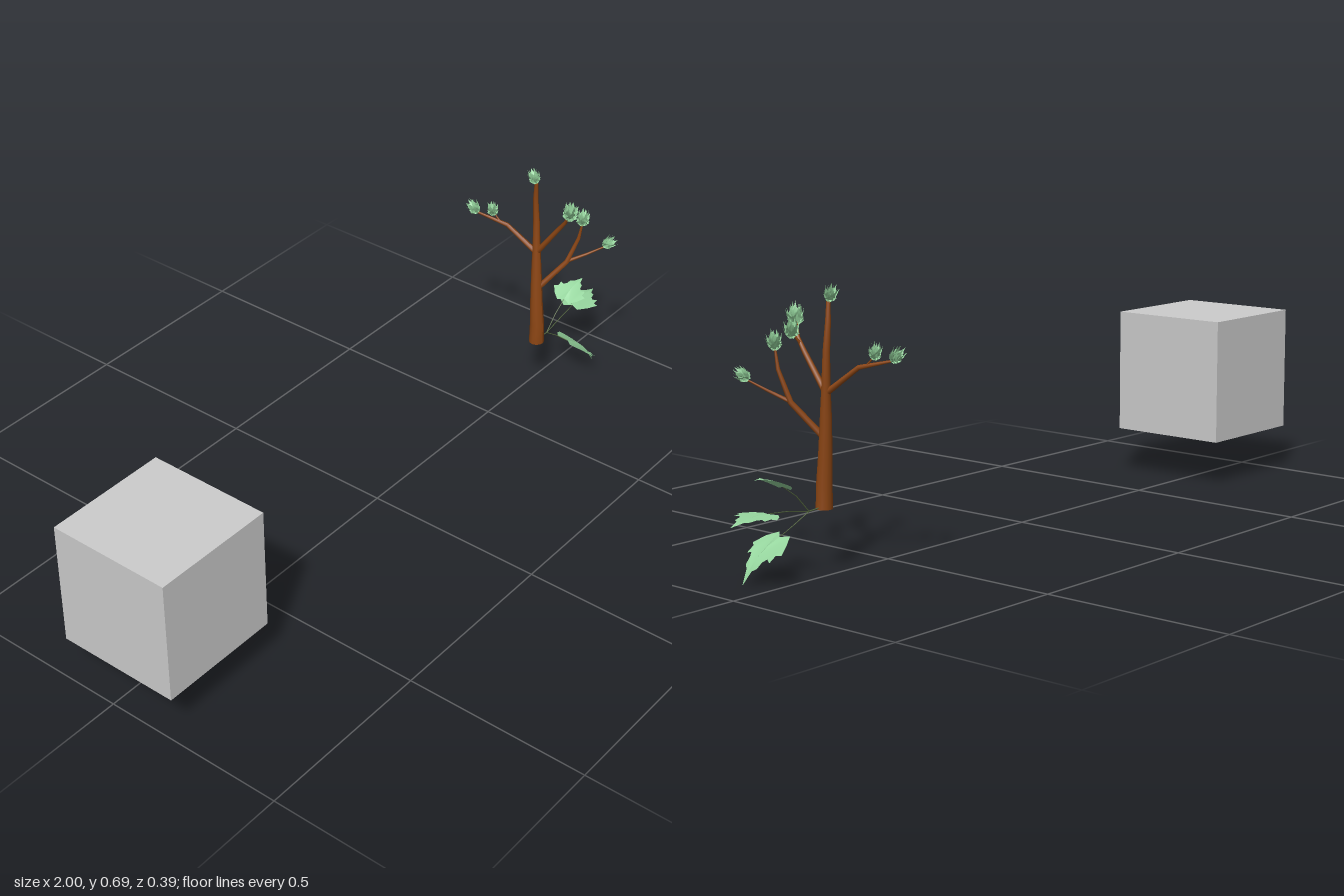
import * as THREE from 'three';
import { mergeGeometries } from 'three/addons/utils/BufferGeometryUtils.js';

const V = (p) => new THREE.Vector3(...p);
const bark = new THREE.MeshStandardMaterial({ color: 0x8b4513 });
const green = new THREE.MeshStandardMaterial({ color: 0x98d8a0, side: THREE.DoubleSide });
const stalkGreen = new THREE.MeshStandardMaterial({ color: 0x55683f });
const grey = new THREE.MeshStandardMaterial({ color: 0xcccccc });

function named(name, geometry, material) {
  const mesh = new THREE.Mesh(geometry, material);
  mesh.name = name;
  return mesh;
}

// Tapered limb through rows of [x, y, z, radius]
function limb(rows, sides = 10) {
  const n = rows.length - 1;
  const pts = rows.map((r) => V(r));
  const turns = pts.map((p, i) => {
    const t = pts[Math.min(i + 1, n)].clone().sub(pts[Math.max(i - 1, 0)]).normalize();
    return new THREE.Quaternion().setFromUnitVectors(new THREE.Vector3(0, 1, 0), t);
  });
  const geo = new THREE.CylinderGeometry(1, 1, 1, sides, n);
  const pos = geo.attributes.position;
  for (let k = 0; k < pos.count; k++) {
    const i = Math.round((pos.getY(k) + 0.5) * n);
    const v = new THREE.Vector3(pos.getX(k), 0, pos.getZ(k)).multiplyScalar(rows[i][3]);
    v.applyQuaternion(turns[i]).add(pts[i]);
    pos.setXYZ(k, v.x, v.y, v.z);
  }
  geo.computeVertexNormals();
  return geo;
}

// Lobed leaf of unit length: half outline from base to tip, then back along the midrib
const halfLeaf = [[0, 0.02], [0.2, -0.07], [0.32, 0.03], [0.4, 0.1], [0.54, 0.3], [0.42, 0.34],
  [0.42, 0.5], [0.3, 0.46], [0.23, 0.54], [0.2, 0.68], [0.1, 0.74], [0, 1], [0, 0.75], [0, 0.5], [0, 0.25]];

// Leaf running from base to tip, bulging towards the up hint
function leaf(base, tip, width, bulge, up) {
  const halves = [1, -1].map((s) =>
    new THREE.ShapeGeometry(new THREE.Shape(halfLeaf.map(([x, y]) => new THREE.Vector2(s * x, y)))));
  const geo = mergeGeometries(halves);
  const pos = geo.attributes.position;
  for (let k = 0; k < pos.count; k++) {
    const x = pos.getX(k), y = pos.getY(k);
    pos.setZ(k, bulge * 4 * y * (1 - y) - bulge * x * x);
  }
  const dir = tip.clone().sub(base);
  const length = dir.length();
  dir.normalize();
  const side = dir.clone().cross(up).normalize();
  const normal = side.clone().cross(dir);
  geo.scale(width / 1.08, length, length);
  geo.applyMatrix4(new THREE.Matrix4().makeBasis(side, dir, normal).setPosition(base));
  geo.computeVertexNormals();
  return geo;
}

// Tuft of small leaves fanning around an axis
function tuft(centre, axis, size) {
  const a = V(axis).normalize();
  const base = V(centre).addScaledVector(a, -size * 0.48);
  const u = new THREE.Vector3(1, 0, 0).cross(a).normalize();
  const w = a.clone().cross(u);
  const leaves = [];
  for (let i = 0; i < 12; i++) {
    const angle = i * 2.4, tilt = 0.15 + 0.5 * (i / 11);
    const dir = a.clone().multiplyScalar(Math.cos(tilt))
      .addScaledVector(u, Math.sin(tilt) * Math.cos(angle))
      .addScaledVector(w, Math.sin(tilt) * Math.sin(angle));
    const tip = base.clone().addScaledVector(dir, size * (1 - 0.02 * i));
    leaves.push(leaf(base, tip, size * 0.65, -0.08, a));
  }
  return mergeGeometries(leaves);
}

export function createModel() {
  const model = new THREE.Group();
  model.name = 'treeAndBlock';

  // Plain block
  const block = named('block', new THREE.BoxGeometry(0.336, 0.337, 0.337), grey);
  block.position.set(-0.832, 0.2955, 0.0265);
  model.add(block);

  // Trunk
  model.add(named('trunk', limb([[0.685, 0.153, 0.027, 0.021], [0.685, 0.21, 0.026, 0.02],
    [0.687, 0.28, 0.019, 0.0175], [0.691, 0.375, 0.011, 0.0145], [0.696, 0.45, 0.004, 0.011],
    [0.7, 0.53, -0.003, 0.009], [0.697, 0.6, -0.007, 0.007], [0.692, 0.647, -0.004, 0.005]], 12), bark));

  // Branches and twigs
  const branches = {
    lowerBranch: [[0.69, 0.325, 0.02, 0.008], [0.74, 0.408, 0.077, 0.007], [0.755, 0.485, 0.101, 0.005],
      [0.755, 0.535, 0.11, 0.0025]],
    lowerTwig: [[0.738, 0.408, 0.075, 0.005], [0.77, 0.434, 0.12, 0.0035], [0.8, 0.46, 0.16, 0.002]],
    frontBranch: [[0.695, 0.435, 0.008, 0.008], [0.702, 0.522, 0.066, 0.0065], [0.7, 0.555, 0.09, 0.005],
      [0.685, 0.595, 0.112, 0.0025]],
    frontTwig: [[0.701, 0.54, 0.08, 0.004], [0.718, 0.565, 0.087, 0.002]],
    backBranch: [[0.695, 0.432, 0.004, 0.008], [0.673, 0.498, -0.08, 0.006], [0.65, 0.518, -0.162, 0.003]],
    backTwig: [[0.668, 0.503, -0.1, 0.003], [0.665, 0.525, -0.12, 0.0015]],
  };
  for (const [name, rows] of Object.entries(branches)) model.add(named(name, limb(rows, 8), bark));

  // Leaf tufts: centre, axis, size
  const tufts = [
    [[0.692, 0.668, -0.014], [0, 1, -0.45], 0.044], [[0.682, 0.608, 0.116], [-0.2, 1, 0.2], 0.056],
    [[0.72, 0.58, 0.09], [0.2, 1, -0.2], 0.05], [[0.757, 0.555, 0.11], [0.1, 1, 0], 0.05],
    [[0.662, 0.54, -0.124], [-0.1, 1, -0.1], 0.042], [[0.645, 0.535, -0.178], [-0.2, 0.8, -0.6], 0.045],
    [[0.807, 0.474, 0.17], [0.4, 0.6, 0.6], 0.044],
  ];
  tufts.forEach((t, i) => model.add(named(`leafTuft${i + 1}`, tuft(...t), green)));

  // Large leaves on thin stalks from the trunk foot
  const fork = [0.735, 0.155, 0.027];
  model.add(named('stalk', limb([[0.695, 0.158, 0.027, 0.0018], [...fork, 0.0015]], 6), stalkGreen));
  const up = new THREE.Vector3(0, 1, 0);
  const bigLeaves = [
    ['upperLeaf', [0.775, 0.198, 0.027], [0.815, 0.226, 0.027], [0.902, 0.256, 0.03], 0.107, 0.1],
    ['middleLeaf', [0.8, 0.167, 0.025], [0.87, 0.174, 0.02], [0.995, 0.165, 0.01], 0.122, 0.05],
    ['lowerLeaf', [0.772, 0.13, 0.036], [0.802, 0.104, 0.053], [0.897, 0, 0.083], 0.153, 0.1],
  ];
  for (const [name, mid, base, tip, width, bulge] of bigLeaves) {
    model.add(named(`${name}Stalk`, limb([[...fork, 0.0013], [...mid, 0.0012], [...base, 0.001]], 6), stalkGreen));
    model.add(named(name, leaf(V(base), V(tip), width, bulge, up), green));
  }
  return model;
}
